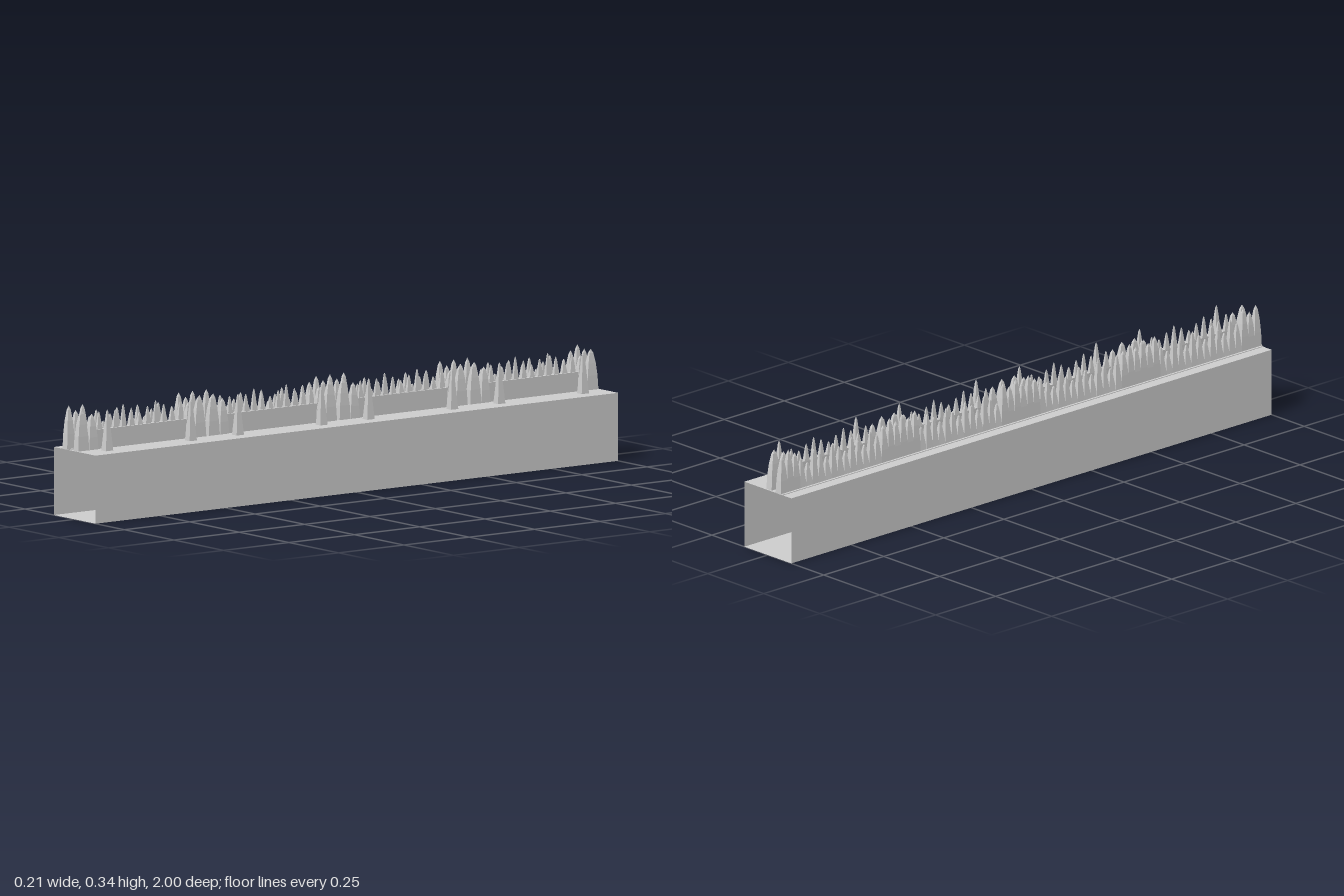
import * as THREE from 'three';

const mat = new THREE.MeshStandardMaterial({ color: 0xcccccc, flatShading: true, side: THREE.DoubleSide });
const TOP = 0.21;

// Four-sided blade, unit height and unit base, swelling towards a sharp tip
function bladeGeometry(profile) {
  const pts = profile.map(([r, y]) => new THREE.Vector2(r * Math.SQRT1_2, y));
  return new THREE.LatheGeometry(pts, 4).rotateY(Math.PI / 4).toNonIndexed();
}
const leaf = bladeGeometry([[1, 0], [0.88, 0.35], [0.66, 0.65], [0.34, 0.9], [0, 1]]);
const stake = bladeGeometry([[1, 0], [0.42, 0.72], [0.2, 0.93], [0, 1]]);

export function createModel() {
  const model = new THREE.Group();
  model.name = 'spikedBeam';

  function add(parent, name, geometry, x, y, z, sx = 1, sy = 1, sz = 1) {
    const mesh = new THREE.Mesh(geometry, mat);
    mesh.name = name;
    mesh.position.set(x, y, z);
    mesh.scale.set(sx, sy, sz);
    parent.add(mesh);
    return mesh;
  }
  function group(name) {
    const g = new THREE.Group();
    g.name = name;
    model.add(g);
    return g;
  }

  // Hollow beam of thin sheets, open at both ends
  const beam = group('beam');
  for (const s of [-1, 1]) {
    add(beam, 'beamSide', new THREE.PlaneGeometry(2, TOP).rotateY(s * Math.PI / 2), s * 0.105, TOP / 2, 0);
    add(beam, s > 0 ? 'beamTop' : 'beamFloor',
      new THREE.PlaneGeometry(0.21, 2).rotateX(-s * Math.PI / 2), 0, s > 0 ? TOP : 0, 0);
  }

  // Lone stakes in mirrored pairs
  const stakes = group('stakeRow');
  for (const z of [0.09, 0.41, 0.59, 0.91])
    for (const s of [-1, 1]) add(stakes, 'stake', stake, 0.046, TOP, s * z, 0.024, 0.127, 0.028);

  // Middle row: low walls with thin spikes between clusters of large blades
  const middle = group('middleRow');
  for (const c of [-0.75, -0.25, 0.25, 0.75]) {
    add(middle, 'lowWall', new THREE.BoxGeometry(0.016, 0.06, 0.36), 0, TOP + 0.03, c);
    for (let i = -5; i <= 5; i++) {
      const tall = Math.abs(i) === 2 ? 0.07 : i % 2 ? 0.055 : 0.04;
      add(middle, 'wallSpike', stake, -0.003, 0.268, c + i * 0.031, 0.012, tall, 0.02);
    }
  }
  for (const c of [-1, -0.5, 0, 0.5, 1])
    for (const s of [-1, 1])
      for (const [d, h, w] of [[0.026, 0.125, 0.042], [0.065, 0.11, 0.034]]) {
        const z = c + s * d;
        if (Math.abs(z) < 1) add(middle, 'largeBlade', leaf, 0, TOP, z, 0.024, h, w);
      }

  // Dense outer row, tallest beside each cluster
  const outer = group('denseRow');
  add(outer, 'baseStrip', new THREE.BoxGeometry(0.035, 0.002, 2), -0.05, TOP + 0.001, 0);
  const count = 76;
  for (let i = 0; i < count; i++) {
    const z = -0.986 + i * 1.972 / (count - 1);
    const near = Math.abs(z * 2 - Math.round(z * 2)) / 2;
    const h = near < 0.07 ? 0.118 + 0.016 * (i % 2) : [0.095, 0.075, 0.112][i % 3];
    add(outer, 'denseSpike', near < 0.07 ? leaf : stake, -0.048, TOP, z, 0.024, h, 0.03);
  }
  return model;
}
